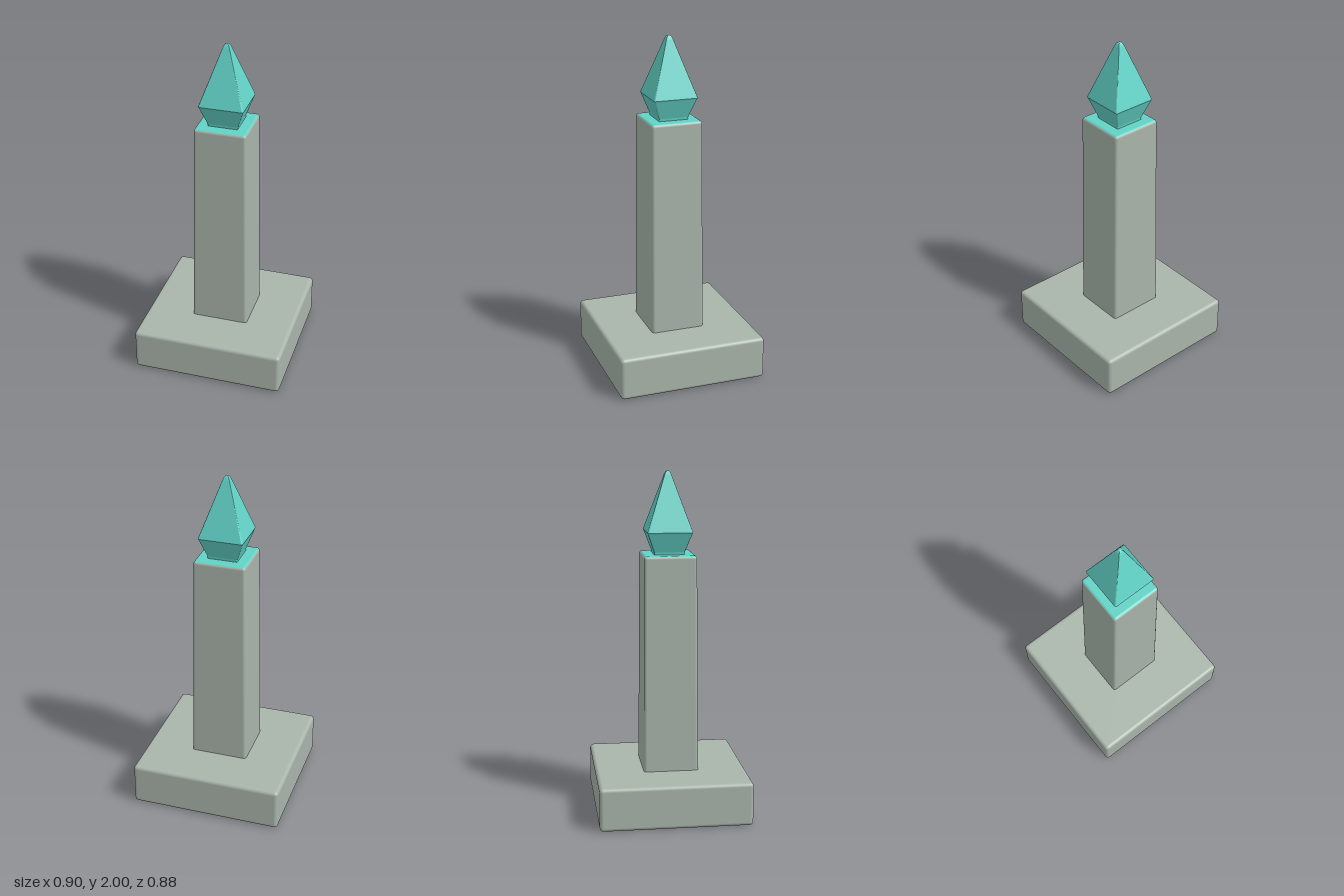
import * as THREE from 'three';
import { RoundedBoxGeometry } from 'three/addons/geometries/RoundedBoxGeometry.js';

const stone = new THREE.MeshStandardMaterial({ name: 'stone', color: 0xa9b5ab });
const crystalTeal = new THREE.MeshStandardMaterial({ name: 'crystalTeal', color: 0x62d2c6 });

function addPart(group, name, geometry, material, y = 0) {
  const mesh = new THREE.Mesh(geometry, material);
  mesh.name = name;
  mesh.position.y = y;
  group.add(mesh);
}

// Rounded box narrowed linearly towards its top
function taperedBox(w, h, d, radius, topX, topZ) {
  const geometry = new RoundedBoxGeometry(w, h, d, 4, radius);
  const p = geometry.attributes.position;
  for (let i = 0; i < p.count; i++) {
    const t = p.getY(i) / h + 0.5;
    p.setX(i, p.getX(i) * THREE.MathUtils.lerp(1, topX, t));
    p.setZ(i, p.getZ(i) * THREE.MathUtils.lerp(1, topZ, t));
  }
  return geometry;
}

// Profile of [half width, height] swept around a square with softened corners
function squareLathe(profile, softness) {
  const perCorner = 5;
  const points = profile.map(([r, y]) => new THREE.Vector2(r, y));
  const lathe = new THREE.LatheGeometry(points, 4 * perCorner);
  const p = lathe.attributes.position;
  for (let i = 0; i < p.count; i++) {
    const [r] = profile[i % profile.length];
    const k = Math.floor(i / profile.length) % (4 * perCorner);
    const corner = Math.floor(k / perCorner) * Math.PI / 2;
    const a = corner + (k % perCorner) / (perCorner - 1) * Math.PI / 2;
    const mid = corner + Math.PI / 4;
    const reach = (1 - softness) * Math.SQRT2;
    p.setX(i, r * (reach * Math.sin(mid) + softness * Math.sin(a)));
    p.setZ(i, r * (reach * Math.cos(mid) + softness * Math.cos(a)));
  }
  const geometry = lathe.toNonIndexed();
  geometry.computeVertexNormals();
  return geometry;
}

export function createModel() {
  const model = new THREE.Group();
  model.name = 'crystalPillar';

  // Square plinth
  addPart(model, 'base', new RoundedBoxGeometry(0.9, 0.255, 0.884, 4, 0.022), stone, 0.1275);

  // Tapered shaft, its top face in teal
  const shaft = taperedBox(0.342, 1.305, 0.322, 0.018, 0.895, 0.945);
  addPart(model, 'pillar', shaft, [stone, stone, crystalTeal, stone, stone, stone], 0.8725);

  // Faceted crystal with a slightly blunt tip
  const crystal = squareLathe([
    [0, 1.515], [0.086, 1.515], [0.089, 1.54], [0.127, 1.646], [0.131, 1.655], [0.127, 1.667],
    [0.02, 1.977], [0.014, 1.99], [0.007, 1.998], [0, 2],
  ], 0.07);
  addPart(model, 'crystal', crystal, crystalTeal);

  return model;
}
